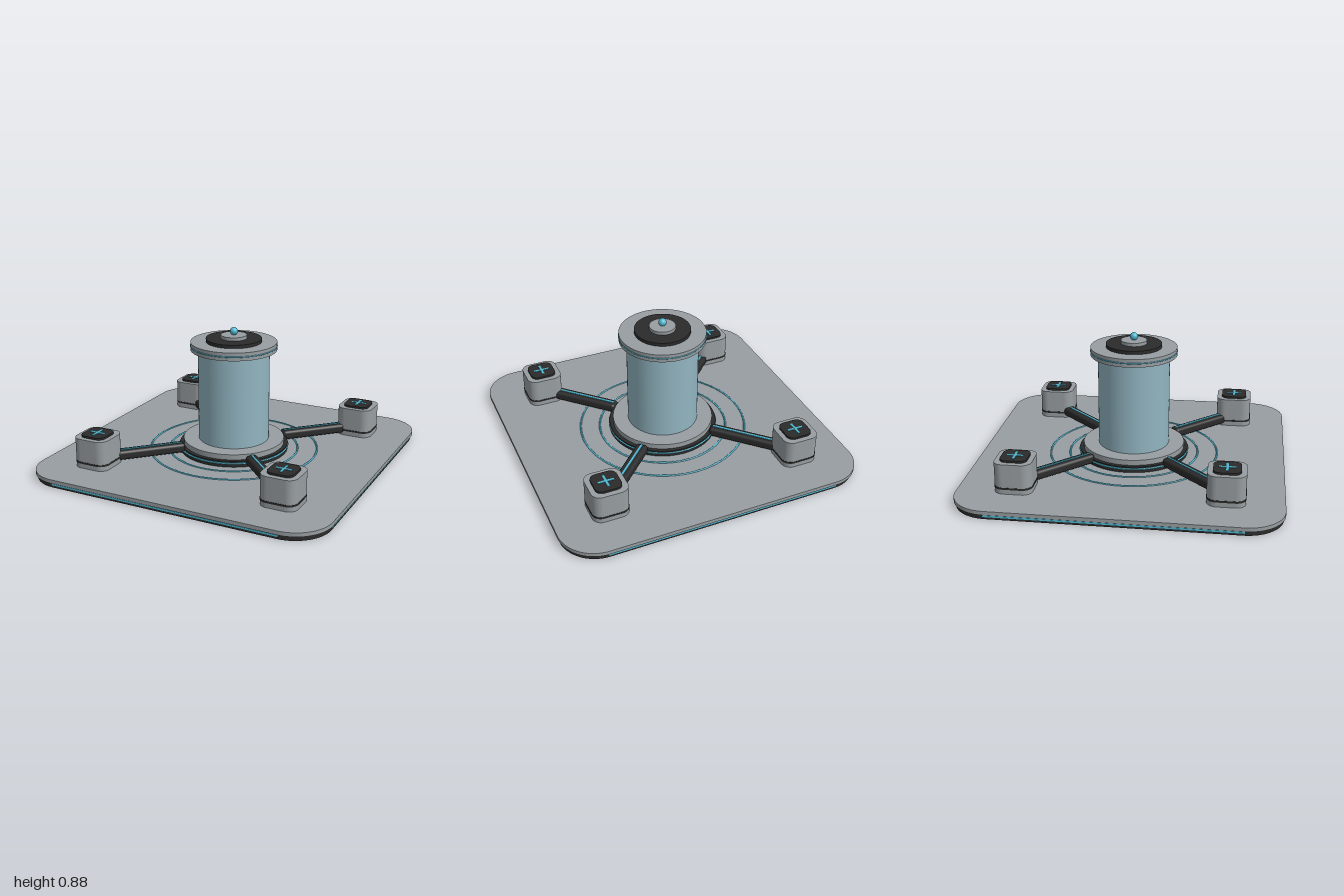
import * as THREE from 'three';
import { toCreasedNormals } from 'three/addons/utils/BufferGeometryUtils.js';
import { RoundedBoxGeometry } from 'three/addons/geometries/RoundedBoxGeometry.js';

function material(name, color) {
  const m = new THREE.MeshStandardMaterial({ color });
  m.name = name;
  return m;
}

export function createModel() {
  const grey = material('grey metal', 0x989ea2);
  const dark = material('dark rubber', 0x2b2b2b);
  const cyan = material('cyan trim', 0x4fb8d2);
  const glass = material('pale blue column', 0x92b5c1);

  const root = new THREE.Group();
  root.name = 'pedestalDevice';

  function add(parent, name, geometry, mat, x = 0, y = 0, z = 0) {
    const mesh = new THREE.Mesh(geometry, mat);
    mesh.name = name;
    mesh.position.set(x, y, z);
    parent.add(mesh);
    return mesh;
  }

  // Square slab with rounded corners, standing on y = 0
  function slab(size, radius, height) {
    const h = size / 2, c = h - radius;
    const s = new THREE.Shape();
    s.absarc(c, c, radius, 0, Math.PI / 2);
    s.absarc(-c, c, radius, Math.PI / 2, Math.PI);
    s.absarc(-c, -c, radius, Math.PI, Math.PI * 1.5);
    s.absarc(c, -c, radius, Math.PI * 1.5, Math.PI * 2);
    s.closePath();
    const g = new THREE.ExtrudeGeometry(s, { depth: height, bevelEnabled: false, curveSegments: 10 });
    g.rotateX(-Math.PI / 2);
    return toCreasedNormals(g, 0.6);
  }

  function disc(parent, name, radius, y0, y1, mat) {
    return add(parent, name, new THREE.CylinderGeometry(radius, radius, y1 - y0, 64), mat, 0, (y0 + y1) / 2, 0);
  }

  function ring(parent, name, radius, tube, y) {
    const g = new THREE.TorusGeometry(radius, tube, 8, 72);
    g.rotateX(Math.PI / 2);
    return add(parent, name, g, cyan, 0, y, 0);
  }

  // Base plate
  add(root, 'baseUnderside', slab(1.98, 0.235, 0.031), dark);
  add(root, 'basePlate', slab(2, 0.24, 0.025), grey, 0, 0.03, 0);
  for (let i = 0; i < 4; i++) {
    const side = new THREE.Group();
    side.name = 'baseEdgeLight';
    side.rotation.y = i * Math.PI / 2;
    add(side, 'edgeStrip', new THREE.BoxGeometry(1.53, 0.011, 0.008), cyan, 0, 0.02, 0.99);
    root.add(side);
  }

  // Rings set into the plate
  ring(root, 'outerFloorRing', 0.557, 0.006, 0.056);
  ring(root, 'innerFloorRing', 0.428, 0.006, 0.056);

  // Column foot
  disc(root, 'footStep', 0.36, 0.055, 0.095, dark);
  ring(root, 'footRing', 0.36, 0.006, 0.08);
  disc(root, 'footCollar', 0.335, 0.095, 0.13, grey);

  // Column and its cap
  disc(root, 'column', 0.234, 0.13, 0.738, glass);
  disc(root, 'capFlange', 0.282, 0.735, 0.788, grey);
  ring(root, 'capRing', 0.28, 0.005, 0.761);
  disc(root, 'capDisc', 0.182, 0.788, 0.81, dark);
  disc(root, 'capButton', 0.085, 0.81, 0.832, grey);
  add(root, 'finialBead', new THREE.SphereGeometry(0.026, 24, 16), cyan, 0, 0.855, 0);

  // Diagonal arms with a light strip on top
  for (let i = 0; i < 4; i++) {
    const arm = new THREE.Group();
    arm.name = 'arm';
    arm.rotation.y = Math.PI / 4 + i * Math.PI / 2;
    add(arm, 'armBeam', new RoundedBoxGeometry(0.48, 0.062, 0.078, 3, 0.02), dark, 0.585, 0.098, 0);
    add(arm, 'armStrip', new THREE.BoxGeometry(0.41, 0.006, 0.014), cyan, 0.565, 0.13, 0);
    root.add(arm);
  }

  // Corner pods with a plus mark
  const podBody = slab(0.236, 0.06, 0.195);
  const podBand = slab(0.24, 0.062, 0.012);
  const podTop = slab(0.17, 0.045, 0.014);
  for (const x of [-0.646, 0.646]) {
    for (const z of [-0.646, 0.646]) {
      const pod = new THREE.Group();
      pod.name = 'cornerPod';
      pod.position.set(x, 0, z);
      add(pod, 'podBody', podBody, grey, 0, 0.055, 0);
      add(pod, 'podBand', podBand, dark, 0, 0.085, 0);
      add(pod, 'podTop', podTop, dark, 0, 0.249, 0);
      add(pod, 'plusBarAcross', new THREE.BoxGeometry(0.105, 0.004, 0.015), cyan, 0, 0.264, 0);
      add(pod, 'plusBarAlong', new THREE.BoxGeometry(0.015, 0.0044, 0.105), cyan, 0, 0.264, 0);
      root.add(pod);
    }
  }

  return root;
}
